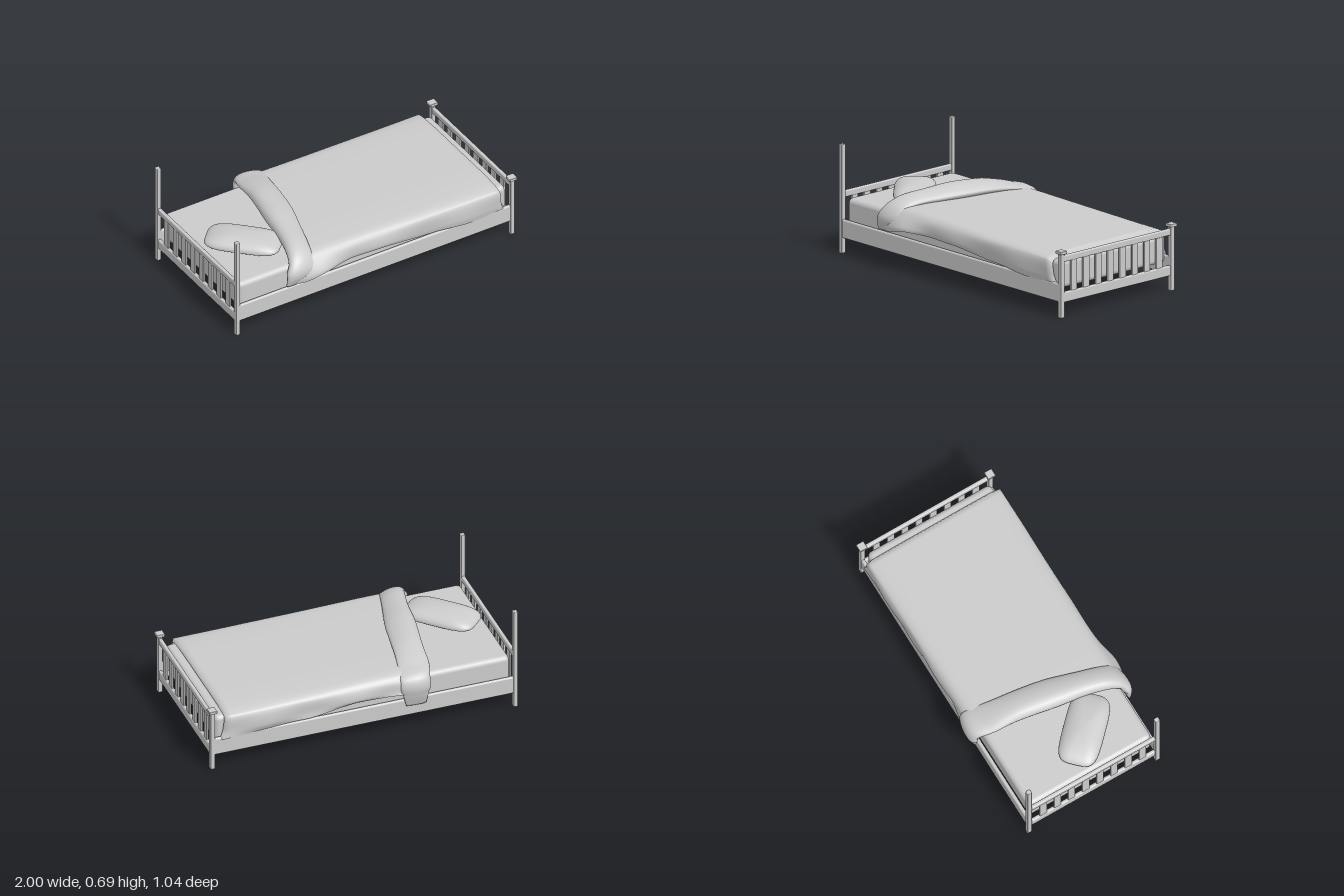
import * as THREE from 'three';
import { RoundedBoxGeometry } from 'three/addons/geometries/RoundedBoxGeometry.js';

const grey = new THREE.MeshStandardMaterial({ color: 0xcccccc });
const cloth = new THREE.MeshStandardMaterial({ color: 0xcccccc, side: THREE.DoubleSide });

// Rounded box given by its min/max extents
function box(name, x0, x1, y0, y1, z0, z1, r = 0.005) {
  const g = new RoundedBoxGeometry(x1 - x0, y1 - y0, z1 - z0, 3, r);
  const m = new THREE.Mesh(g, grey);
  m.position.set((x0 + x1) / 2, (y0 + y1) / 2, (z0 + z1) / 2);
  m.name = name;
  return m;
}

// Smooth surface through rows of points; closed joins each row into a ring
function loft(name, rows, closed) {
  const n = rows[0].length, pos = [], idx = [];
  rows.forEach(row => row.forEach(p => pos.push(p.x, p.y, p.z)));
  for (let i = 0; i < rows.length - 1; i++) {
    for (let j = 0; j < (closed ? n : n - 1); j++) {
      const k = (j + 1) % n;
      const a = i * n + j, b = i * n + k, c = a + n, d = b + n;
      idx.push(a, b, c, b, d, c);
    }
  }
  const g = new THREE.BufferGeometry();
  g.setAttribute('position', new THREE.Float32BufferAttribute(pos, 3));
  g.setIndex(idx);
  g.computeVertexNormals();
  const m = new THREE.Mesh(g, cloth);
  m.name = name;
  return m;
}

// Piecewise smooth interpolation of [x, value] pairs
function lookup(table, x) {
  if (x <= table[0][0]) return table[0][1];
  for (let i = 1; i < table.length; i++) {
    const [a, va] = table[i - 1], [b, vb] = table[i];
    if (x <= b) return va + (vb - va) * THREE.MathUtils.smoothstep(x, a, b);
  }
  return table[table.length - 1][1];
}

// Rails and slats shared by both ends
function endPanel(name, x) {
  const g = new THREE.Group();
  g.name = name;
  g.add(box('lowerRail', x - 0.012, x + 0.012, 0.097, 0.163, -0.44, 0.44, 0.01));
  g.add(box('upperRail', x - 0.012, x + 0.012, 0.352, 0.393, -0.44, 0.44, 0.008));
  for (let i = 0; i < 8; i++) {
    const z = -0.35 + i * 0.1;
    g.add(box('slat', x - 0.007, x + 0.007, 0.155, 0.36, z - 0.025, z + 0.025, 0.004));
  }
  return g;
}

// Blanket: cross-sections along the bed, draped over both sides
function blanket() {
  const hem = [[-0.65, 0.245], [-0.55, 0.24], [-0.37, 0.275], [0, 0.265], [0.4, 0.23], [0.7, 0.208], [0.92, 0.206]];
  const rows = [], N = 44, M = 60;
  const section = (x, t, inset) => {
    const flare = 0.05 * Math.exp(-(((x + 0.4) / 0.16) ** 2));
    const ripple = 0.006 * Math.sin(x * 11 + 1);
    const top = 0.402 - 0.022 * THREE.MathUtils.clamp((x + 0.3) / 1.2, 0, 1) - inset;
    const h = lookup(hem, x);
    const half = s => [
      [s * (0.466 + flare + ripple * s - inset), h],
      [s * (0.474 + flare * 0.8 + ripple - inset), h * 0.6 + 0.13],
      [s * (0.468 + flare * 0.2 - inset), 0.352 - inset],
      [s * 0.435, top - 0.012],
      [s * 0.33, top],
    ];
    const pts = [...half(1), [0, top + 0.002], ...half(-1).reverse()];
    return new THREE.CatmullRomCurve3(pts.map(p => new THREE.Vector3(0, p[1], p[0]))).getPoint(t);
  };
  for (let i = 0; i <= N + 1; i++) {
    const row = [], u = Math.min(i / N, 1);
    for (let j = 0; j <= M; j++) {
      const t = j / M, across = 1 - 2 * t;
      // slanted head edge, nearly straight foot edge bulging down the sides
      const x0 = -0.43 - 0.13 * across - 0.05 * Math.max(0, across) ** 4;
      const x1 = 0.875 + 0.035 * across ** 4;
      const x = x0 + (x1 - x0) * u;
      const p = section(x, t, i > N ? 0.022 : 0);
      p.x = i > N ? x + 0.012 : x;
      row.push(p);
    }
    rows.push(row);
  }
  return loft('blanket', rows, false);
}

// Turned-back fold: a flattened roll swept across the bed and down both sides
function fold() {
  // x, y, z of the centre, half width, half thickness, tilt in degrees
  const stations = [
    [-0.58, 0.235, 0.470, 0.065, 0.010, 90],
    [-0.54, 0.300, 0.475, 0.100, 0.030, 85],
    [-0.525, 0.370, 0.445, 0.085, 0.032, 55],
    [-0.50, 0.405, 0.360, 0.080, 0.042, 22],
    [-0.46, 0.418, 0.200, 0.085, 0.048, 5],
    [-0.42, 0.425, 0.000, 0.098, 0.052, 0],
    [-0.385, 0.420, -0.200, 0.095, 0.046, 0],
    [-0.36, 0.395, -0.370, 0.100, 0.027, -10],
    [-0.335, 0.358, -0.475, 0.095, 0.030, -50],
    [-0.335, 0.270, -0.485, 0.085, 0.026, -88],
    [-0.34, 0.180, -0.475, 0.065, 0.010, -90],
  ];
  const centre = new THREE.CatmullRomCurve3(stations.map(s => new THREE.Vector3(s[0], s[1], s[2])));
  const shape = new THREE.CatmullRomCurve3(stations.map(s => new THREE.Vector3(s[3], s[4], s[5] / 100)));
  const rows = [], N = 60;
  for (let i = -1; i <= N + 1; i++) {
    const t = THREE.MathUtils.clamp(i / N, 0, 1), c = centre.getPoint(t), s = shape.getPoint(t);
    const k = i < 0 || i > N ? 0 : 1, a = THREE.MathUtils.degToRad(s.z * 100), row = [];
    for (let j = 0; j < 24; j++) {
      const q = (j / 24) * Math.PI * 2;
      const w = s.x * Math.cos(q) * k;
      // crest leans toward the head, thin edge toward the foot
      const h = s.y * Math.sin(q) * (1 - 0.3 * Math.cos(q)) * k;
      row.push(new THREE.Vector3(c.x + w, c.y + h * Math.cos(a), c.z + h * Math.sin(a)));
    }
    rows.push(row);
  }
  return loft('blanketFold', rows, true);
}

// Pillow: a sphere squared off in plan with thin edges
function pillow() {
  const g = new THREE.SphereGeometry(1, 40, 24);
  const p = g.attributes.position;
  const sq = v => Math.sign(v) * Math.abs(v) ** 0.5;
  for (let i = 0; i < p.count; i++) {
    const x = p.getX(i), y = p.getY(i), z = p.getZ(i);
    const r = Math.hypot(x, z) || 1;
    const k = Math.min(1, r);
    const px = sq(x / r) * k, pz = sq(z / r) * k;
    p.setXYZ(i, px * 0.235, y * (y > 0 ? 0.062 : 0.035), pz * 0.128);
  }
  g.computeVertexNormals();
  const m = new THREE.Mesh(g, cloth);
  m.name = 'pillow';
  m.position.set(-0.72, 0.383, 0.1);
  m.rotation.y = -Math.PI / 4;
  return m;
}

export function createModel() {
  const bed = new THREE.Group();
  bed.name = 'bed';

  // Posts and side rails, mirrored left and right
  for (const s of [-1, 1]) {
    const z = s * 0.452;
    bed.add(box('headPost', -1, -0.972, 0.003, 0.688, z - 0.016, z + 0.016));
    bed.add(box('footPost', 0.956, 0.985, 0.003, 0.41, z - 0.016, z + 0.016));
    bed.add(box('footPostCap', 0.945, 0.997, 0.405, 0.425, z - 0.026, z + 0.026, 0.004));
    bed.add(box('sideRail', -0.98, 0.965, 0.1, 0.218, z - 0.012, z + 0.012, 0.011));
  }
  bed.add(endPanel('headboard', -0.985));
  bed.add(endPanel('footboard', 0.97));

  // Bedding
  bed.add(box('mattress', -0.962, 0.945, 0.172, 0.352, -0.435, 0.435, 0.032));
  bed.add(pillow(), blanket(), fold());

  // Rest the feet on the ground
  bed.children.forEach(c => { c.position.y -= 0.003; });
  return bed;
}
